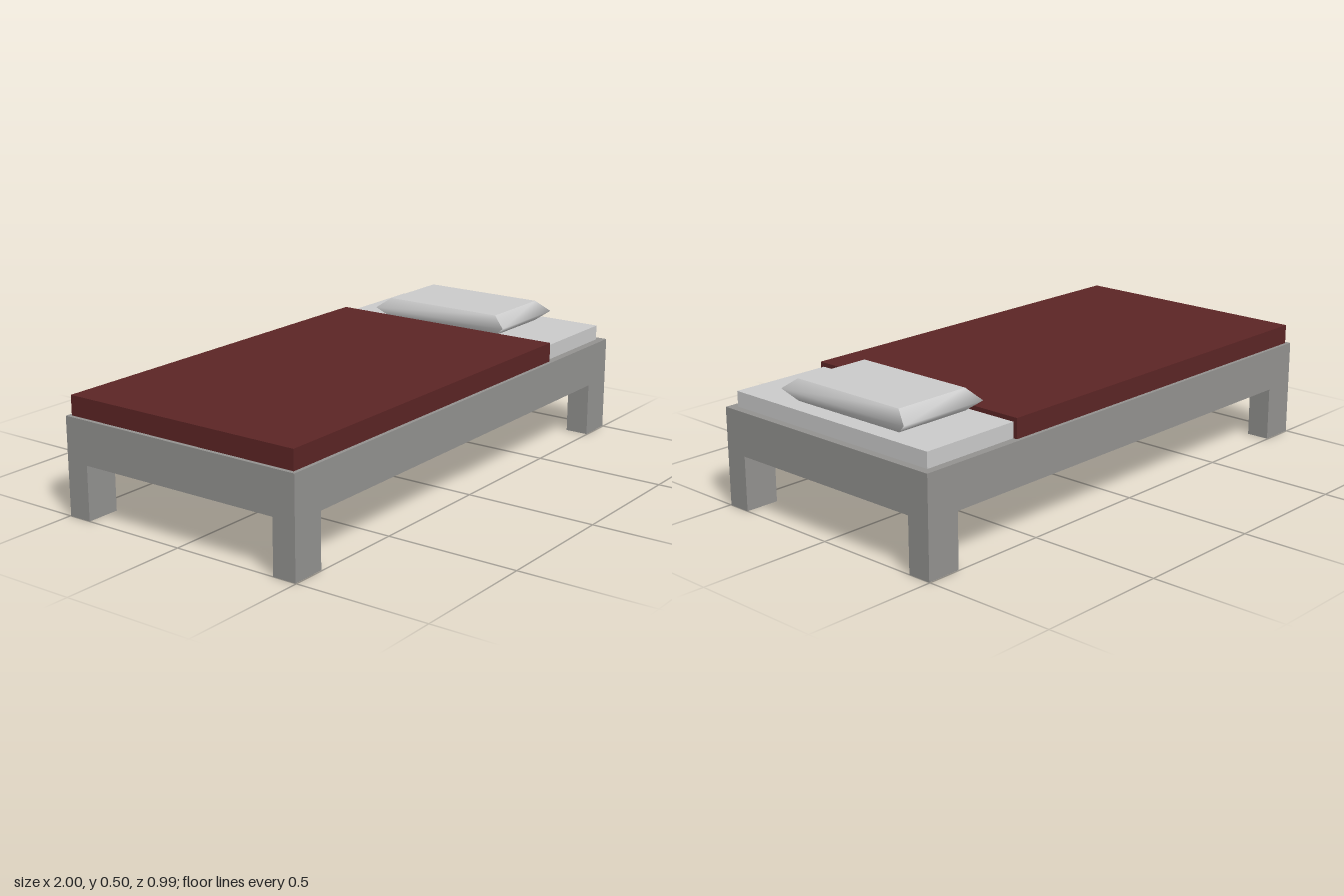
import * as THREE from 'three';
import { mergeGeometries } from 'three/addons/utils/BufferGeometryUtils.js';

const mat = (color) => new THREE.MeshStandardMaterial({ color });

// Box given by its minimum and maximum corners
function block(name, material, min, max) {
  const size = max.map((v, i) => v - min[i]);
  const mesh = new THREE.Mesh(new THREE.BoxGeometry(...size), material);
  mesh.position.set(...max.map((v, i) => (v + min[i]) / 2));
  mesh.name = name;
  return mesh;
}

// Strip of quads joining rows of points; normals are smooth within one strip
function strip(rows) {
  const n = rows[0].length;
  const index = [];
  for (let r = 0; r < rows.length - 1; r++) {
    for (let i = 0; i < n - 1; i++) {
      const a = r * n + i, b = a + 1, c = a + n, d = c + 1;
      index.push(a, b, d, a, d, c);
    }
  }
  const g = new THREE.BufferGeometry();
  g.setAttribute('position', new THREE.Float32BufferAttribute(rows.flat(2), 3));
  g.setIndex(index);
  g.computeVertexNormals();
  return g;
}

// Pillow: flat top and bottom, each side softly rounded over its middle ridge
function pillowGeometry(hx, hy, hz, insetX, insetZ) {
  const ring = (y, x, z) => [[-x, y, z], [x, y, z], [x, y, -z], [-x, y, -z]];
  const low = ring(-hy, hx - insetX, hz - insetZ);
  const mid = ring(0, hx, hz);
  const high = ring(hy, hx - insetX, hz - insetZ);
  const parts = [
    strip([[high[0], high[1]], [high[3], high[2]]]),
    strip([[low[3], low[2]], [low[0], low[1]]]),
  ];
  for (let i = 0; i < 4; i++) {
    const j = (i + 1) % 4;
    parts.push(strip([low, mid, high].map((r) => [r[i], r[j]])));
  }
  return mergeGeometries(parts);
}

export function createModel() {
  const bed = new THREE.Group();
  bed.name = 'bed';
  const wood = mat(0x949391);
  const linen = mat(0xcccccc);

  // Frame and four corner legs
  bed.add(block('frame', wood, [-1, 0.203, -0.497], [1, 0.365, 0.497]));
  for (const sx of [-1, 1]) {
    for (const sz of [-1, 1]) {
      const leg = block('leg', wood, [-0.066, 0, -0.045], [0.066, 0.203, 0.045]);
      leg.position.x = sx * 0.934;
      leg.position.z = sz * 0.452;
      bed.add(leg);
    }
  }

  // Mattress with the blanket wrapped over most of it
  bed.add(block('mattress', linen, [-0.97, 0.365, -0.467], [0.97, 0.422, 0.467]));
  bed.add(block('blanket', mat(0x5c2525), [-0.985, 0.365, -0.483], [0.575, 0.438, 0.483]));

  // Pillow
  const pillow = new THREE.Mesh(pillowGeometry(0.182, 0.04, 0.3, 0.03, 0.054), linen);
  pillow.position.set(0.748, 0.462, -0.023);
  pillow.name = 'pillow';
  bed.add(pillow);

  return bed;
}
